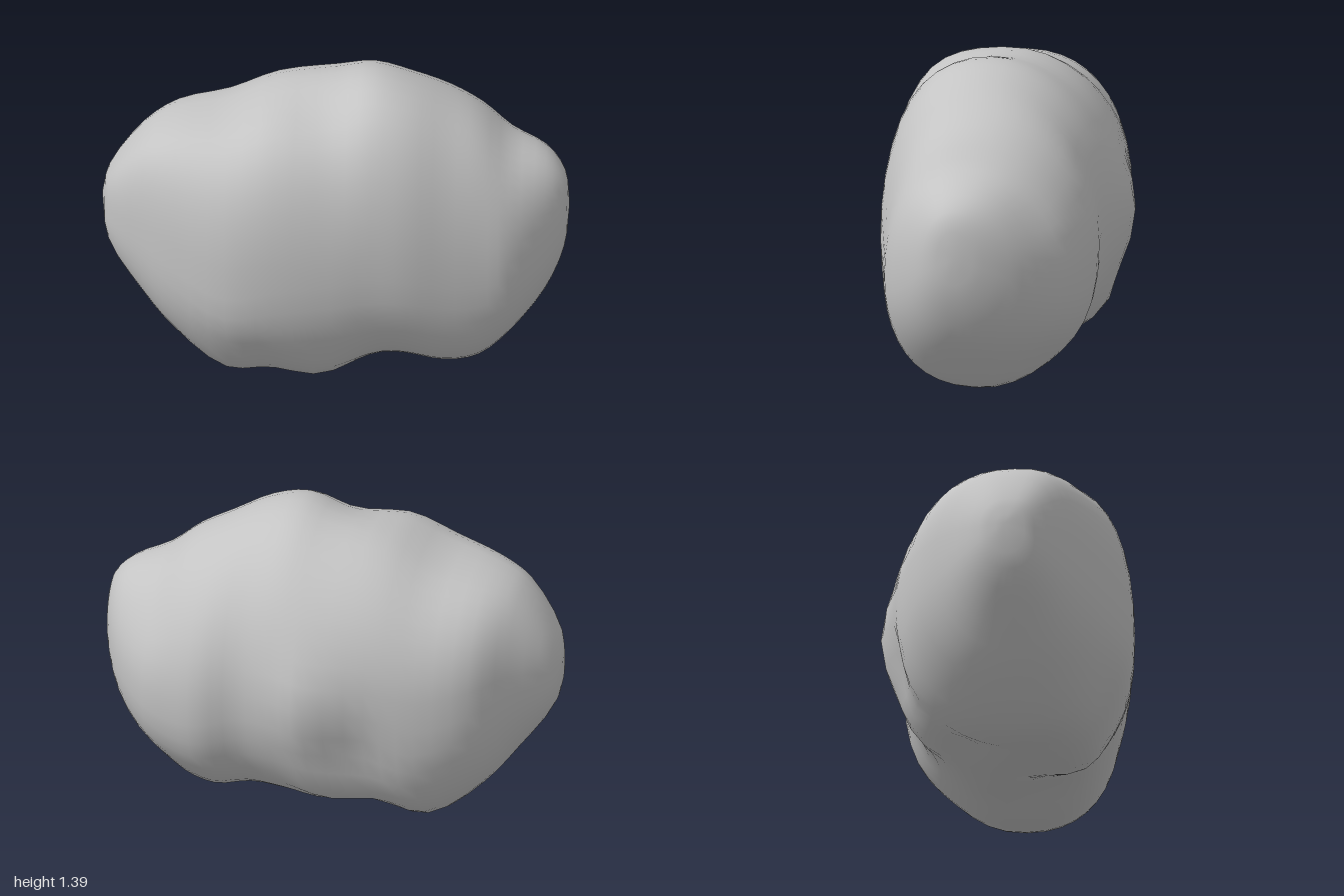
import * as THREE from 'three';
import { mergeVertices } from 'three/addons/utils/BufferGeometryUtils.js';

// Cross-sections along x: [x, top, bottom, front z, back z]
const SECTIONS = [
  [-1.0, 0.77, 0.77, 0.04, 0.04],
  [-0.97, 0.90, 0.57, 0.17, -0.07],
  [-0.82, 1.10, 0.34, 0.31, -0.22],
  [-0.68, 1.17, 0.17, 0.41, -0.36],
  [-0.46, 1.22, 0.00, 0.52, -0.45],
  [-0.25, 1.32, 0.02, 0.545, -0.49],
  [0.0, 1.36, 0.04, 0.53, -0.525],
  [0.16, 1.39, 0.05, 0.51, -0.50],
  [0.32, 1.35, 0.055, 0.49, -0.475],
  [0.48, 1.27, 0.03, 0.45, -0.49],
  [0.62, 1.19, 0.06, 0.415, -0.45],
  [0.75, 1.08, 0.18, 0.375, -0.39],
  [0.90, 1.01, 0.37, 0.25, -0.25],
  [0.98, 0.92, 0.57, 0.145, -0.09],
  [1.0, 0.76, 0.76, 0.03, 0.03],
];

// Hollows (positive) and swellings (negative): [x, y, z, radius, depth]
const DENTS = [
  [-0.08, 1.27, 0.20, 0.17, 0.04],
  [0.80, 0.92, -0.30, 0.17, 0.015],
  [0.22, 0.06, 0.14, 0.19, 0.055],
  [0.25, 0.22, 0.43, 0.17, 0.025],
  [-0.05, 0.08, 0.30, 0.15, -0.05],
  [-0.42, 0.20, 0.43, 0.18, 0.04],
  [-0.20, 0.47, -0.48, 0.17, 0.035],
  [-0.10, 0.23, -0.41, 0.15, -0.03],
  [-0.20, 0.08, -0.20, 0.15, 0.035],
  [0.02, 0.68, -0.53, 0.19, -0.035],
  [0.62, 0.16, -0.30, 0.18, 0.03],
];

const power = (v, e) => Math.sign(v) * Math.pow(Math.abs(v), e);

// Point on one section: an egg, fuller below, with a broad shoulder at the -x top
function sectionPoint([x, top, bottom, front, back], angle) {
  const s = Math.sin(angle), c = Math.cos(angle);
  const size = (top - bottom) / 1.34;
  const midY = (top + bottom) / 2 - Math.max(c, 0) * 0.08 * size;
  const midZ = (front + back) / 2 + 0.05 * s * s * size;
  const halfY = s > 0 ? top - midY : midY - bottom;
  const halfZ = (front - back) / 2;
  const shoulder = THREE.MathUtils.smoothstep(-x, 0, 0.5);
  const e = s > 0 ? 0.96 - 0.18 * shoulder : 0.88;
  return new THREE.Vector3(x, midY + halfY * power(s, e), midZ + halfZ * power(c, e));
}

// Move a point along the line to the core near each hollow or swelling
function weather(p) {
  const inward = new THREE.Vector3(p.x * 0.35, 0.68, 0).sub(p).normalize();
  let push = 0;
  for (const [x, y, z, r, depth] of DENTS) {
    const d2 = (p.x - x) ** 2 + (p.y - y) ** 2 + (p.z - z) ** 2;
    push += depth * Math.exp(-d2 / (r * r));
  }
  p.addScaledVector(inward, push);
  p.y = Math.max(p.y, 0);
  p.x = THREE.MathUtils.clamp(p.x, -1, 1);
  return p;
}

function rockGeometry() {
  const around = 40, along = 42;
  const positions = [], index = [];

  // One smooth lengthwise curve per angle
  const curves = [];
  for (let j = 0; j < around; j++) {
    const angle = (j / around) * Math.PI * 2;
    curves.push(new THREE.CatmullRomCurve3(SECTIONS.map((s) => sectionPoint(s, angle))));
  }
  for (let i = 0; i <= along; i++) {
    for (const curve of curves) positions.push(...weather(curve.getPoint(i / along)).toArray());
  }
  // Skin between neighbouring rings, with triangle fans at the tips
  for (let i = 0; i < along; i++) {
    for (let j = 0; j < around; j++) {
      const k = (j + 1) % around;
      const a = i * around + j, b = a + around;
      const c = i * around + k, d = c + around;
      if (i > 0) index.push(a, b, c);
      if (i < along - 1) index.push(b, d, c);
    }
  }
  const geometry = new THREE.BufferGeometry();
  geometry.setAttribute('position', new THREE.Float32BufferAttribute(positions, 3));
  geometry.setIndex(index);
  const merged = mergeVertices(geometry, 1e-4);
  merged.computeVertexNormals();
  return merged;
}

export function createModel() {
  const group = new THREE.Group();
  group.name = 'boulder';

  const stone = new THREE.MeshStandardMaterial({ color: 0xc4c4c4 });
  stone.name = 'grey stone';

  const rock = new THREE.Mesh(rockGeometry(), stone);
  rock.name = 'rock';
  group.add(rock);
  return group;
}
